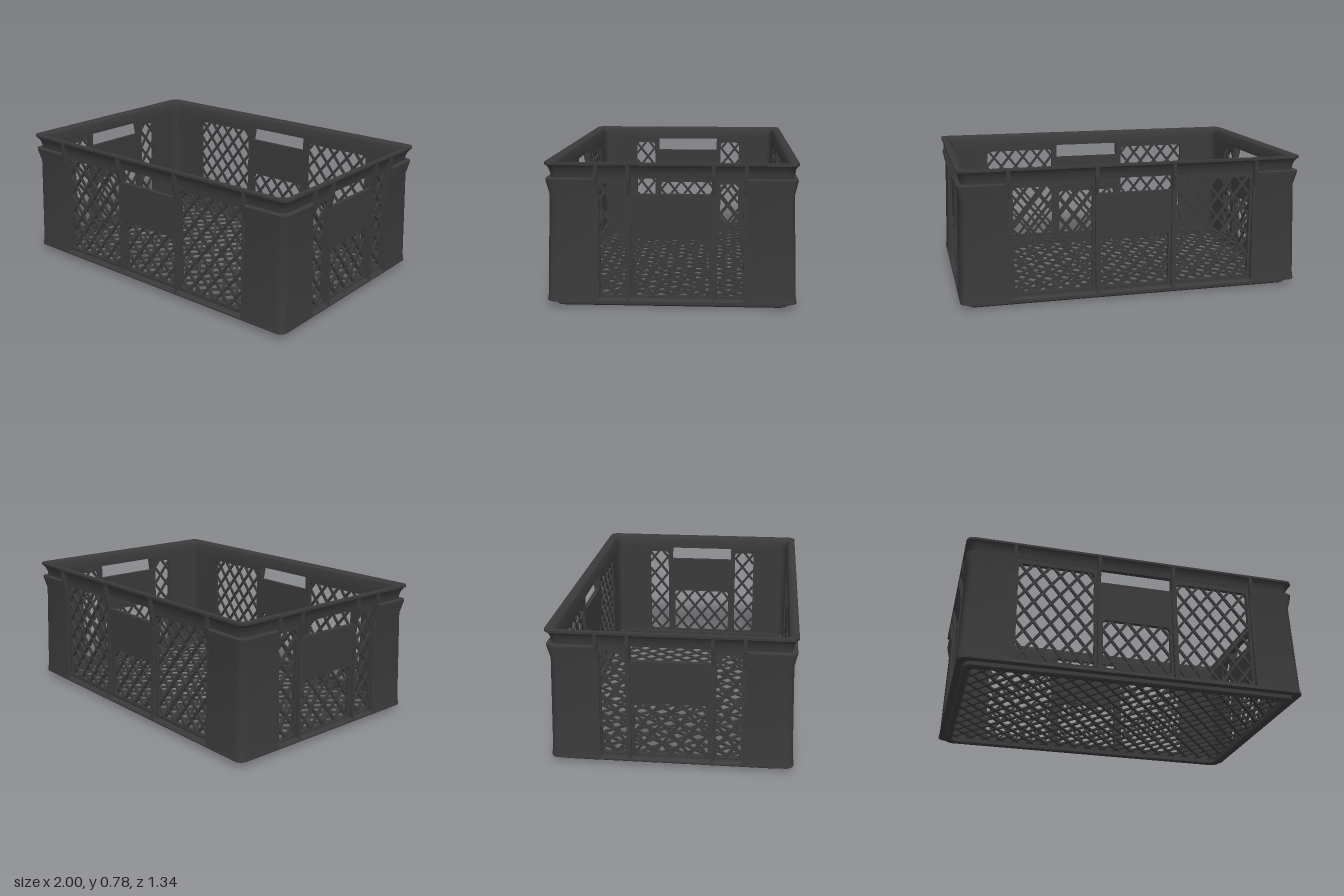
import * as THREE from 'three';
import { mergeGeometries, toCreasedNormals } from 'three/addons/utils/BufferGeometryUtils.js';

const W = 1, D = 0.67, R = 0.045; // half width, half depth, corner radius
const plastic = new THREE.MeshStandardMaterial({ color: 0x3a3a3a });
plastic.name = 'charcoal plastic';

function part(name, geometry, parent) {
  const mesh = new THREE.Mesh(geometry, plastic);
  mesh.name = name;
  parent.add(mesh);
  return mesh;
}

// One rounded corner of the outline, moved outward by offset
function cornerArc(w, d, offset, quadrant) {
  const pts = [];
  const sx = quadrant === 0 || quadrant === 3 ? 1 : -1, sz = quadrant < 2 ? 1 : -1;
  for (let i = 0; i <= 6; i++) {
    const a = (quadrant + i / 6) * Math.PI / 2;
    pts.push([sx * (w + offset - R) + R * Math.cos(a), sz * (d + offset - R) + R * Math.sin(a)]);
  }
  return pts;
}

// Sweep a closed profile of [outward offset, height] along an outline
function sweep(profile, outline, closed) {
  const n = profile.length, pos = [], idx = [];
  const columns = profile.map(([o]) => outline(o));
  const m = columns[0].length;
  for (let k = 0; k < m; k++) {
    for (let j = 0; j < n; j++) pos.push(columns[j][k][0], profile[j][1], columns[j][k][1]);
  }
  for (let k = 0; k < (closed ? m : m - 1); k++) {
    for (let j = 0; j < n; j++) {
      const k2 = ((k + 1) % m) * n, j2 = (j + 1) % n;
      const a = k * n + j, b = k * n + j2, c = k2 + j, e = k2 + j2;
      idx.push(a, b, c, b, e, c);
    }
  }
  if (!closed) {
    const caps = THREE.ShapeUtils.triangulateShape(profile.map(p => new THREE.Vector2(...p)), []);
    const end = (m - 1) * n;
    for (const [a, b, c] of caps) idx.push(a, c, b, end + a, end + b, end + c);
  }
  const g = new THREE.BufferGeometry();
  g.setAttribute('position', new THREE.Float32BufferAttribute(pos, 3));
  g.setIndex(idx);
  return toCreasedNormals(g, 0.5);
}

const ring = profile => sweep(profile, o => [0, 1, 2, 3].flatMap(q => cornerArc(W, D, o, q)), true);

// Diagonal bars clipped to a rectangle, in the xy plane
function lattice(x0, x1, y0, y1) {
  const pitch = 0.1, slope = 1.25, bars = [];
  for (const s of [slope, -slope]) {
    for (let i = -30; i <= 30; i++) {
      const c = (i + 0.5) * pitch; // where the bar crosses y = 0
      const ends = [c + y0 / s, c + y1 / s];
      const a = Math.max(x0, Math.min(...ends)), b = Math.min(x1, Math.max(...ends));
      if (b - a < 0.005) continue;
      const g = new THREE.BoxGeometry((b - a) * Math.hypot(1, s), 0.015, 0.012);
      g.rotateZ(Math.atan(s));
      g.translate((a + b) / 2, s * ((a + b) / 2 - c), 0);
      bars.push(g);
    }
  }
  return mergeGeometries(bars);
}

function roundedHole([x0, x1, y0, y1], r) {
  const p = new THREE.Path();
  p.absarc(x1 - r, y1 - r, r, 0, Math.PI / 2);
  p.absarc(x0 + r, y1 - r, r, Math.PI / 2, Math.PI);
  p.absarc(x0 + r, y0 + r, r, Math.PI, Math.PI * 1.5);
  p.absarc(x1 - r, y0 + r, r, Math.PI * 1.5, Math.PI * 2);
  p.closePath();
  return p;
}

// Wall with latticed windows, a handle slot and flared ribs, facing +z
function wall(name, half, depth, inner, outer, bottom) {
  const group = new THREE.Group();
  group.name = name;
  const windows = [[-outer, -inner, bottom, 0.67], [inner, outer, bottom, 0.67], [-0.2, 0.2, bottom, 0.37]];
  const shape = new THREE.Shape();
  shape.moveTo(-half, 0.04).lineTo(half, 0.04).lineTo(half, 0.72).lineTo(-half, 0.72).closePath();
  shape.holes = windows.map(w => roundedHole(w, 0.025));
  shape.holes.push(roundedHole([-0.215, 0.215, 0.615, 0.7], 0.004));
  const panel = new THREE.ExtrudeGeometry(shape, { depth: 0.025, bevelEnabled: false, curveSegments: 4 });
  panel.translate(0, 0, depth - 0.055);
  part('wallPanel', panel, group);

  for (const w of windows) {
    part('windowLattice', lattice(...w), group).position.z = depth - 0.042;
  }

  const rib = new THREE.Shape([
    [-0.04, 0.035], [-0.001, 0.035], [-0.005, 0.07], [-0.02, 0.61], [-0.004, 0.69], [-0.001, 0.7],
    [-0.001, 0.778], [-0.04, 0.778],
  ].map(p => new THREE.Vector2(...p)));
  for (const x of [-half, -0.225, 0.225, half]) {
    const g = new THREE.ExtrudeGeometry(rib, { depth: 0.018, bevelEnabled: false });
    g.translate(0, 0, -0.009);
    g.rotateY(-Math.PI / 2);
    part('rib', g, group).position.set(x, 0, depth);
  }
  return group;
}

export function createModel() {
  const model = new THREE.Group();
  model.name = 'storageCrate';

  // Flared rim with a thin overhanging edge
  part('rim', ring([
    [-0.055, 0.7], [-0.028, 0.7], [-0.025, 0.725], [-0.017, 0.75], [-0.006, 0.766],
    [0, 0.77], [0, 0.783], [-0.03, 0.783], [-0.046, 0.773], [-0.055, 0.75],
  ]), model);

  // Base ledge and stacking foot
  part('baseFrame', ring([
    [-0.08, 0.006], [-0.074, 0], [-0.048, 0], [-0.04, 0.008], [-0.04, 0.03],
    [0, 0.03], [0, 0.038], [-0.012, 0.05], [-0.08, 0.05],
  ]), model);

  // Floor grid
  const floor = lattice(-0.925, 0.925, -0.595, 0.595);
  floor.rotateX(-Math.PI / 2);
  part('floorLattice', floor, model).position.y = 0.036;

  // Long and short walls, each twice
  for (let i = 0; i < 2; i++) {
    const long = wall(i ? 'backWall' : 'frontWall', 0.72, D, 0.25, 0.695, 0.07);
    long.rotation.y = i * Math.PI;
    const short = wall(i ? 'rightWall' : 'leftWall', 0.395, W, 0.245, 0.38, 0.06);
    short.rotation.y = Math.PI / 2 + i * Math.PI;
    model.add(long, short);
  }

  // Solid corner posts, tapering upward to a flared lip
  const post = [
    [-0.055, 0.035], [0, 0.035], [-0.005, 0.07], [-0.02, 0.61], [-0.004, 0.685],
    [-0.004, 0.695], [-0.028, 0.7], [-0.03, 0.72], [-0.055, 0.72],
  ];
  for (let i = 0; i < 4; i++) {
    const [w, d, sideEnd, frontEnd] = i % 2 ? [D, W, 0.72, 0.395] : [W, D, 0.395, 0.72];
    const outline = o => [[w + o, sideEnd], ...cornerArc(w, d, o, 0), [frontEnd, d + o]];
    part('cornerPost', sweep(post, outline, false), model).rotation.y = i * Math.PI / 2;
  }
  return model;
}
